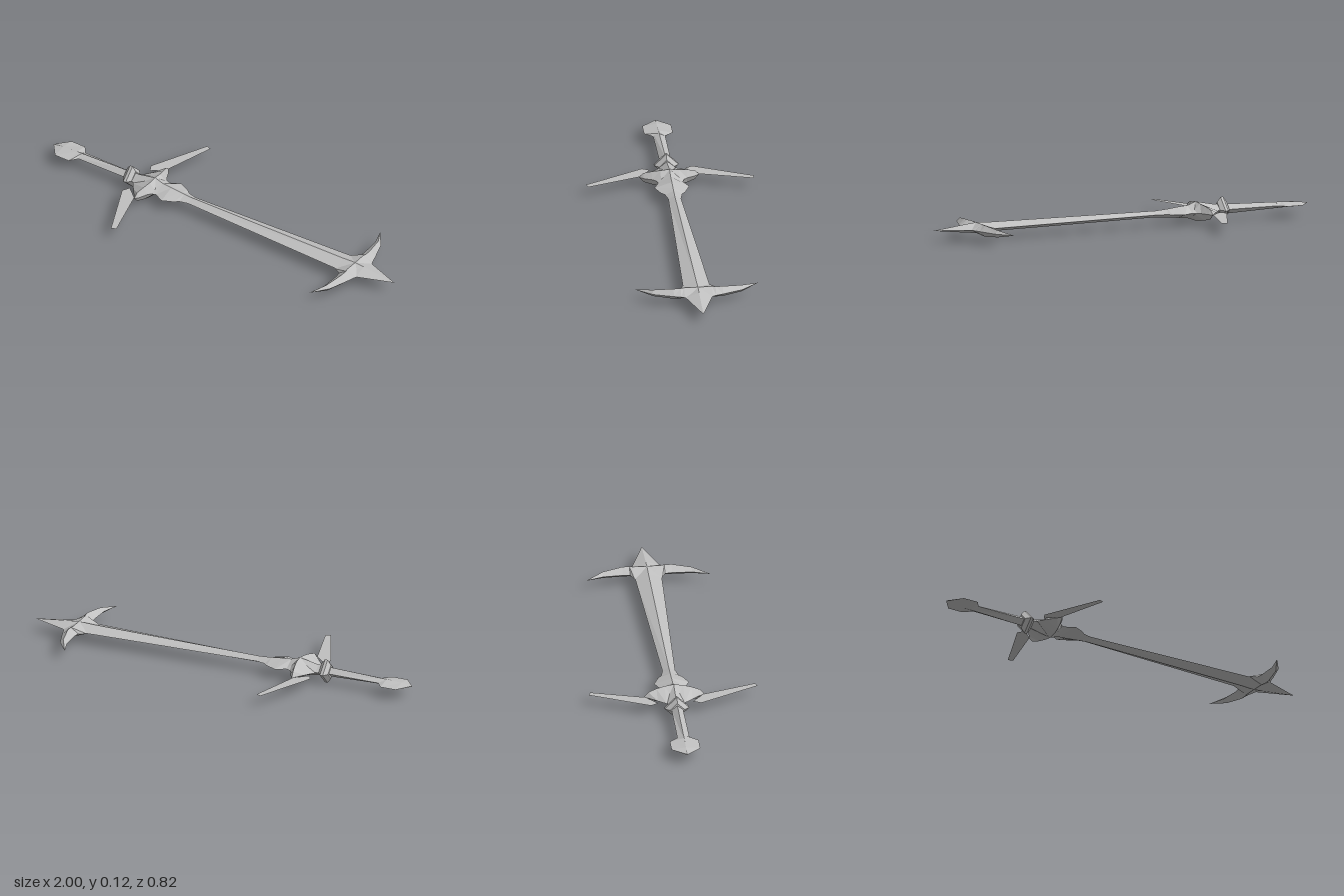
import * as THREE from 'three';

const MID = 0.06; // height of the sword's middle plane

// Skin a list of four-point rings with flat facets facing outward
function loft(rings) {
  const tris = [];
  const add = (a, b, c) => tris.push([a, b, c]);
  for (let i = 0; i < rings.length - 1; i++) {
    for (let j = 0; j < 4; j++) {
      const k = (j + 1) % 4, p = rings[i], q = rings[i + 1];
      add(p[j], p[k], q[k]);
      add(p[j], q[k], q[j]);
    }
  }
  const first = rings[0], last = rings[rings.length - 1];
  add(first[0], first[2], first[1]);
  add(first[0], first[3], first[2]);
  add(last[0], last[1], last[2]);
  add(last[0], last[2], last[3]);
  // Signed volume tells which way the facets wind
  let volume = 0;
  for (const [a, b, c] of tris) volume += a.dot(b.clone().cross(c));
  const points = [];
  for (const [a, b, c] of tris) {
    if (new THREE.Triangle(a, b, c).getArea() < 1e-9) continue;
    points.push(...(volume > 0 ? [a, b, c] : [a, c, b]));
  }
  const geometry = new THREE.BufferGeometry().setFromPoints(points);
  geometry.computeVertexNormals();
  return geometry;
}

const v = (x, y, z) => new THREE.Vector3(x, y, z);

// Diamond sections along the sword: [x, half width, half height]
const alongX = (list) => loft(list.map(([x, w, h]) =>
  [v(x, 0, w), v(x, h, 0), v(x, 0, -w), v(x, -h, 0)]));

// Diamond sections across the sword: [z, back x, ridge x, front x, half height]
const alongZ = (list, side) => loft(list.map(([z, back, ridge, front, h]) =>
  [v(back, 0, z * side), v(ridge, h, z * side), v(front, 0, z * side), v(ridge, -h, z * side)]));

export function createModel() {
  const group = new THREE.Group();
  const steel = new THREE.MeshStandardMaterial({ color: 0xc0c0c0, flatShading: true, side: THREE.DoubleSide });
  steel.name = 'steel';
  const part = (name, geometry) => {
    const mesh = new THREE.Mesh(geometry, steel);
    mesh.name = name;
    mesh.position.y = MID;
    group.add(mesh);
    return mesh;
  };

  part('pommel', alongX([
    [-1, 0.003, 0.002], [-0.945, 0.07, 0.01], [-0.865, 0.07, 0.014], [-0.835, 0.03, 0.015],
  ]));
  part('grip', alongX([[-0.9, 0.03, 0.013], [-0.56, 0.028, 0.024]]));
  part('collar', alongX([
    [-0.57, 0.036, 0.036], [-0.552, 0.06, 0.06], [-0.538, 0.06, 0.06], [-0.52, 0.036, 0.036],
  ]));
  part('neck', alongX([[-0.53, 0.033, 0.028], [-0.5, 0.042, 0.027]]));

  // Blade with its swollen root and long widening body
  part('blade', alongX([
    [-0.505, 0.042, 0.027], [-0.405, 0.075, 0.047], [-0.36, 0.06, 0.031], [-0.31, 0.085, 0.027],
    [-0.255, 0.06, 0.021], [-0.235, 0.042, 0.019], [-0.19, 0.031, 0.016], [0.7, 0.065, 0.023],
    [0.77, 0.068, 0.026], [0.82, 0.067, 0.021], [1, 0, 0],
  ]));

  for (const side of [1, -1]) {
    const label = side > 0 ? 'left' : 'right';
    part(label + 'GuardSpike', alongZ([
      [0, -0.5, -0.405, -0.35, 0.048], [0.045, -0.505, -0.407, -0.365, 0.042],
      [0.085, -0.475, -0.415, -0.395, 0.035], [0.125, -0.444, -0.425, -0.412, 0.024],
      [0.145, -0.43, -0.428, -0.426, 0.002],
    ], side));

    // Flat wing swept toward the blade
    const outline = [[-0.495, 0.085], [-0.515, 0.122], [-0.382, 0.41], [-0.357, 0.4], [-0.432, 0.14]];
    const wing = new THREE.ShapeGeometry(new THREE.Shape(
      outline.map(([x, z]) => new THREE.Vector2(x, -z * side))));
    wing.rotateX(-Math.PI / 2);
    part(label + 'GuardWing', wing);

    // Hooked fin behind the tip
    part(label + 'TipFin', alongZ([
      [0, 0.7, 0.77, 0.82, 0.026], [0.068, 0.7, 0.77, 0.823, 0.027],
      [0.085, 0.735, 0.775, 0.815, 0.027], [0.12, 0.739, 0.775, 0.805, 0.027],
      [0.217, 0.735, 0.755, 0.772, 0.017], [0.3, 0.708, 0.709, 0.71, 0],
    ], side));
  }
  return group;
}
